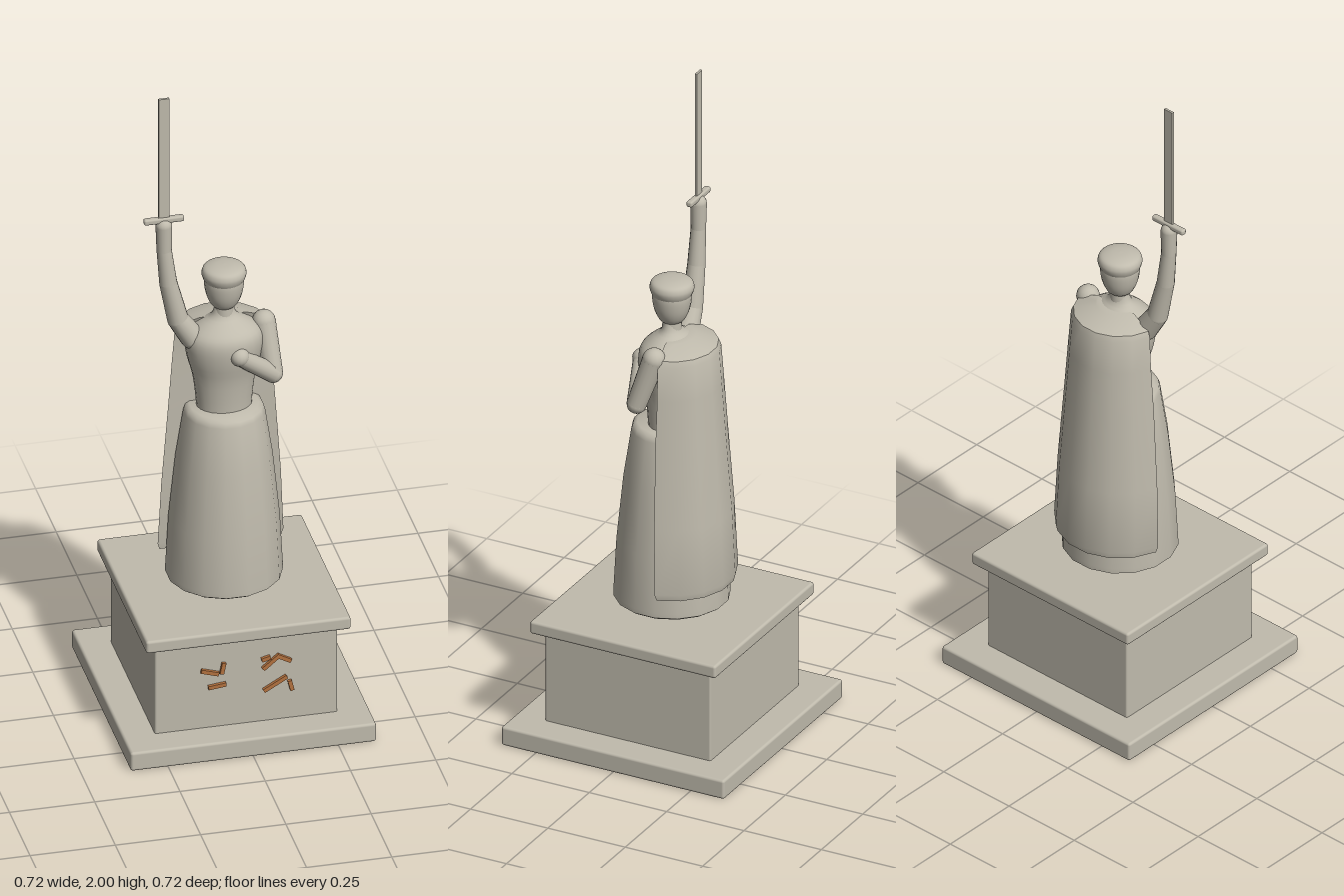
import * as THREE from 'three';
import { toCreasedNormals } from 'three/addons/utils/BufferGeometryUtils.js';
import { RoundedBoxGeometry } from 'three/addons/geometries/RoundedBoxGeometry.js';

const stone = new THREE.MeshStandardMaterial({ color: 0xc0bbad });
stone.name = 'stone';
const bronze = new THREE.MeshStandardMaterial({ color: 0xb4723f });
bronze.name = 'bronze';

const V = (x, y, z) => new THREE.Vector3(x, y, z);

function add(parent, name, geometry, x = 0, y = 0, z = 0, material = stone) {
  const mesh = new THREE.Mesh(geometry, material);
  mesh.name = name;
  mesh.position.set(x, y, z);
  parent.add(mesh);
  return mesh;
}

// Turned form; profile is a list of [radius, y]
function lathe(profile, sides) {
  const pts = profile.map(([r, y]) => new THREE.Vector2(r, y));
  return new THREE.LatheGeometry(pts, sides, Math.PI / sides);
}

function smoothProfile(profile, count) {
  return new THREE.SplineCurve(profile.map(([r, y]) => new THREE.Vector2(r, y)))
    .getPoints(count).map((p) => [Math.max(p.x, 0), p.y]);
}

// Arm made of tapered segments with round joints; joints are [point, radius]
function limb(name, joints) {
  const group = new THREE.Group();
  group.name = name;
  joints.forEach(([p, r], i) => {
    add(group, name + 'Joint', new THREE.SphereGeometry(r, 16, 12), p.x, p.y, p.z);
    if (i === 0) return;
    const [q, rq] = joints[i - 1];
    const dir = p.clone().sub(q);
    const seg = add(group, name + 'Segment', new THREE.CylinderGeometry(r, rq, dir.length(), 16, 1, true));
    seg.position.copy(p).add(q).multiplyScalar(0.5);
    seg.quaternion.setFromUnitVectors(V(0, 1, 0), dir.normalize());
  });
  return group;
}

// Solid half-round cape: rings of [y, radius, front z], closed at both ends
function capeGeometry() {
  const rings = [
    [0.48, 0.184, -0.045], [0.5, 0.189, -0.042], [0.7, 0.179, -0.036], [0.95, 0.16, -0.03],
    [1.1, 0.149, -0.03], [1.205, 0.141, -0.027], [1.222, 0.134, -0.025], [1.247, 0.07, -0.015],
  ];
  const n = 8;
  const pos = [], index = [];
  rings.forEach(([y, r, zf]) => {
    const a0 = Math.asin(-zf / r);
    for (let i = 0; i < n; i++) {
      const a = a0 + (Math.PI - 2 * a0) * i / (n - 1);
      pos.push(r * Math.cos(a), y, -r * Math.sin(a));
    }
  });
  for (let k = 0; k < rings.length - 1; k++) {
    for (let i = 0; i < n; i++) {
      const a = k * n + i, b = k * n + (i + 1) % n;
      index.push(a, b, b + n, a, b + n, a + n);
    }
  }
  const last = (rings.length - 1) * n;
  for (let i = 1; i < n - 1; i++) {
    index.push(0, i + 1, i);
    index.push(last, last + i, last + i + 1);
  }
  const g = new THREE.BufferGeometry();
  g.setAttribute('position', new THREE.Float32BufferAttribute(pos, 3));
  g.setIndex(index);
  return toCreasedNormals(g, 0.6);
}

export function createModel() {
  const model = new THREE.Group();
  model.name = 'monument';

  // Plinth
  const plinth = new THREE.Group();
  plinth.name = 'plinth';
  model.add(plinth);
  add(plinth, 'baseSlab', new RoundedBoxGeometry(0.72, 0.06, 0.72, 2, 0.008), 0, 0.03, 0);
  add(plinth, 'pedestal', new RoundedBoxGeometry(0.535, 0.3, 0.535, 2, 0.006), 0, 0.205, 0);
  add(plinth, 'topSlab', new RoundedBoxGeometry(0.6, 0.04, 0.6, 2, 0.008), 0, 0.365, 0);

  // Abstract bronze relief bars: [x1, y1, x2, y2]
  const bars = [
    [-0.133, 0.252, -0.082, 0.236], [-0.066, 0.27, -0.073, 0.235], [-0.112, 0.194, -0.06, 0.2],
    [0.048, 0.234, 0.096, 0.274], [0.044, 0.264, 0.07, 0.271], [0.09, 0.273, 0.13, 0.251],
    [0.05, 0.162, 0.118, 0.201], [0.126, 0.186, 0.134, 0.154],
  ];
  bars.forEach(([x1, y1, x2, y2]) => {
    const len = Math.hypot(x2 - x1, y2 - y1);
    const bar = add(plinth, 'reliefBar', new THREE.BoxGeometry(len, 0.012, 0.0098),
      (x1 + x2) / 2, (y1 + y2) / 2, 0.2735, bronze);
    bar.rotation.z = Math.atan2(y2 - y1, x2 - x1);
  });

  // Figure
  const figure = new THREE.Group();
  figure.name = 'figure';
  model.add(figure);

  // Feet under the hem
  for (const s of [-1, 1]) {
    add(figure, 'foot', new THREE.SphereGeometry(1, 16, 10), s * 0.07, 0.41, 0.028)
      .scale.set(0.033, 0.03, 0.068);
  }

  add(figure, 'skirt', toCreasedNormals(lathe([
    [0, 0.408], [0.158, 0.408], [0.168, 0.415], [0.168, 0.43], [0.159, 0.6], [0.139, 0.8],
    [0.117, 0.945], [0.112, 0.96], [0.1, 0.967], [0, 0.969],
  ], 16), 0.8));

  // Bodice, widened towards the shoulders
  add(figure, 'torso', lathe(smoothProfile([
    [0.08, 0.955], [0.083, 1.0], [0.092, 1.07], [0.108, 1.13], [0.114, 1.18], [0.104, 1.213],
    [0.072, 1.238], [0.038, 1.26], [0.027, 1.29],
  ], 24), 24)).scale.z = 0.8;

  add(figure, 'neck', new THREE.CylinderGeometry(0.026, 0.03, 0.09, 20), 0, 1.28, 0);
  add(figure, 'head', lathe(smoothProfile([
    [0, 1.28], [0.03, 1.289], [0.046, 1.313], [0.055, 1.345], [0.057, 1.38], [0.045, 1.41], [0, 1.42],
  ], 24), 24));
  add(figure, 'hair', lathe(smoothProfile([
    [0.055, 1.37], [0.062, 1.385], [0.064, 1.4], [0.056, 1.415], [0.03, 1.423], [0, 1.425],
  ], 20), 28));

  add(figure, 'cape', capeGeometry());

  // Raised right arm
  figure.add(limb('raisedArm', [
    [V(-0.095, 1.2, 0.005), 0.036], [V(-0.137, 1.265, 0.008), 0.031], [V(-0.166, 1.39, 0.01), 0.026],
    [V(-0.178, 1.5, 0.01), 0.022], [V(-0.179, 1.58, 0.01), 0.024],
  ]));

  // Bent left arm with the hand at the chest
  figure.add(limb('bentArm', [
    [V(0.118, 1.217, -0.005), 0.034], [V(0.133, 1.07, 0.043), 0.029], [V(0.03, 1.155, 0.082), 0.025],
  ]));
  add(figure, 'leftHand', new THREE.SphereGeometry(0.028, 16, 12), 0.026, 1.16, 0.083);

  // Sword
  const sword = new THREE.Group();
  sword.name = 'sword';
  sword.position.set(-0.179, 0, 0.01);
  model.add(sword);
  add(sword, 'guard', new RoundedBoxGeometry(0.118, 0.018, 0.019, 2, 0.006), 0, 1.6, 0);
  add(sword, 'blade', new THREE.BoxGeometry(0.031, 0.396, 0.007), 0, 1.802, 0);

  return model;
}
